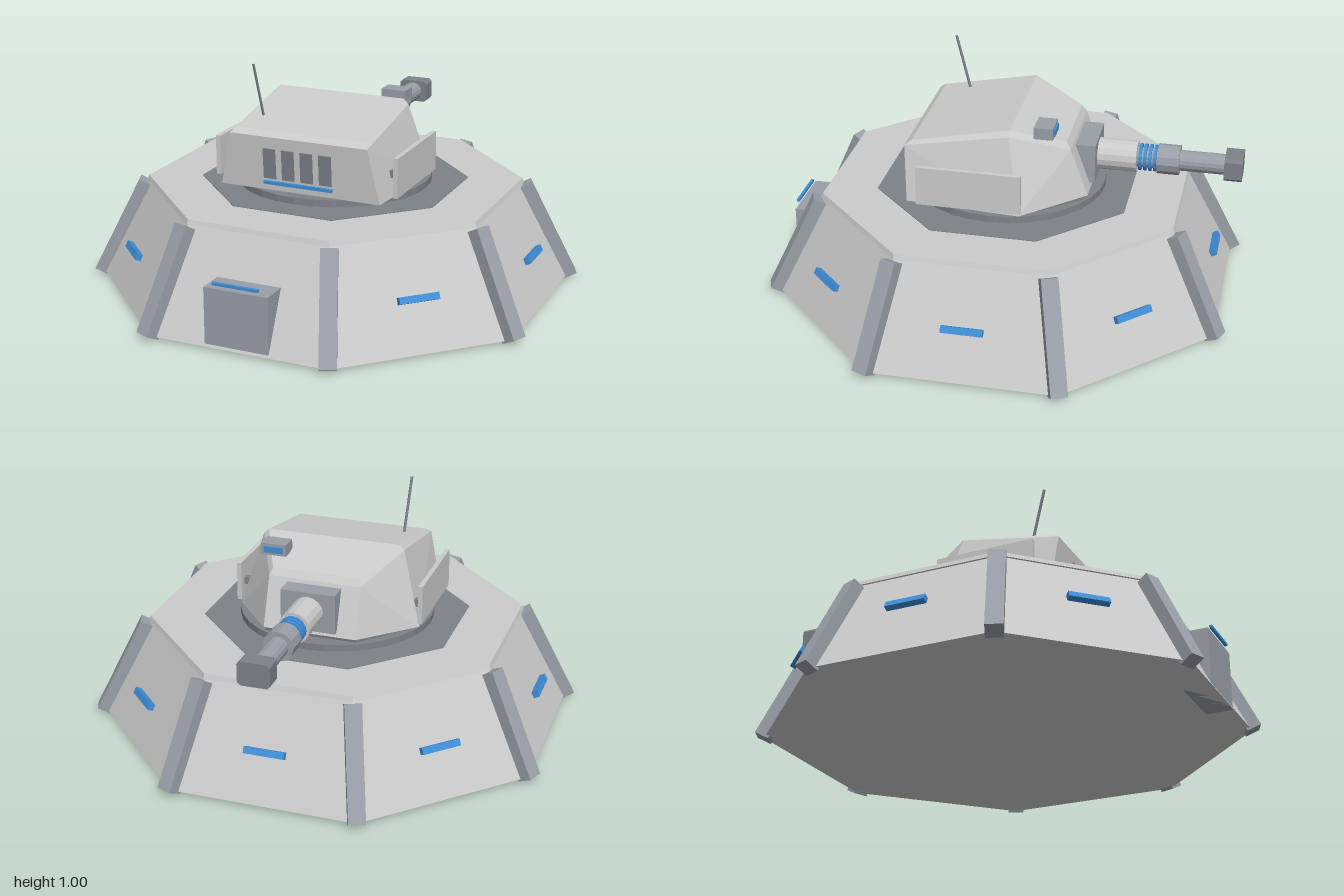
import * as THREE from 'three';
import { ConvexGeometry } from 'three/addons/geometries/ConvexGeometry.js';

const mat = (color) => new THREE.MeshStandardMaterial({ color, flatShading: true });

export function createModel() {
  const root = new THREE.Group();
  const grey = mat(0xcccccc), steel = mat(0x9a9fa8), dark = mat(0x7d828a), blue = mat(0x3f8fd8);

  const add = (name, geo, material, x = 0, y = 0, z = 0, parent = root) => {
    const m = new THREE.Mesh(geo, material);
    m.name = name;
    m.position.set(x, y, z);
    parent.add(m);
    return m;
  };
  const box = (name, w, h, d, material, x, y, z, parent) =>
    add(name, new THREE.BoxGeometry(w, h, d), material, x, y, z, parent);

  // Octagonal prism given by the distance from centre to flat side
  const octagon = (name, top, bottom, y0, y1, material) => {
    const k = 1 / Math.cos(Math.PI / 8);
    return add(name, new THREE.CylinderGeometry(top * k, bottom * k, y1 - y0, 8, 1, false, Math.PI / 8),
      material, 0, (y0 + y1) / 2, 0);
  };

  // Bunker body
  octagon('bunkerWall', 0.745, 0.95, 0.015, 0.44, grey);
  octagon('roofSlab', 0.75, 0.757, 0.435, 0.455, grey);
  octagon('roofInset', 0.533, 0.533, 0.44, 0.458, dark);
  add('turntable', new THREE.CylinderGeometry(0.42, 0.42, 0.035, 32), dark, 0, 0.47, 0);

  // Corner ribs and wall lights around the octagon
  const slope = Math.atan2(0.21, 0.415);
  for (let i = 0; i < 8; i++) {
    const corner = new THREE.Group();
    corner.name = 'cornerRib' + (i + 1);
    corner.rotation.y = (i + 0.5) * Math.PI / 4;
    const rib = box('rib', 0.07, 0.465, 0.064, steel, 0, 0.222, 0.928, corner);
    rib.rotation.x = -slope;
    root.add(corner);

    if (i === 0) continue; // the door takes the front wall
    const side = new THREE.Group();
    side.name = 'wallLight' + i;
    side.rotation.y = i * Math.PI / 4;
    box('lamp', 0.17, 0.028, 0.025, blue, 0, 0.232, 0.903, side).rotation.x = -slope;
    root.add(side);
  }

  // Entrance
  box('door', 0.28, 0.25, 0.115, steel, 0, 0.14, 0.8875);
  box('doorLight', 0.2, 0.012, 0.012, blue, 0, 0.287, 0.945);

  // Turret shell: half-outline corners mirrored across x
  const turret = new THREE.Group();
  turret.name = 'turret';
  root.add(turret);
  const half = [
    [0.36, 0.487, 0.365], [0.40, 0.487, -0.12], [0.20, 0.487, -0.35], [0.20, 0.51, -0.375],
    [0.31, 0.72, 0.382], [0.295, 0.74, 0.355],
    [0.313, 0.8, -0.06], [0.29, 0.822, -0.06],
    [0.20, 0.715, -0.30], [0.19, 0.745, -0.28],
  ];
  const points = half.flatMap(([x, y, z]) => [new THREE.Vector3(x, y, z), new THREE.Vector3(-x, y, z)]);
  add('turretShell', new ConvexGeometry(points), grey, 0, 0, 0, turret);

  // Side armour panels
  for (const s of [-1, 1]) {
    box('sidePanel', 0.02, 0.17, 0.44, grey, s * 0.405, 0.59, 0.09, turret);
    for (const z of [-0.08, 0.22])
      box('panelBracket', 0.07, 0.03, 0.03, dark, s * 0.365, 0.58, z, turret);
  }

  // Rear vents with light strip
  for (let i = 0; i < 4; i++)
    box('vent', 0.055, 0.13, 0.02, dark, -0.13 + i * 0.084, 0.605, 0.37, turret).rotation.x = 0.07;
  box('ventLight', 0.31, 0.014, 0.012, blue, 0, 0.524, 0.38, turret);

  // Gun, running towards -z
  const gun = new THREE.Group();
  gun.name = 'gun';
  gun.position.y = 0.615;
  turret.add(gun);
  const tube = (name, r, z0, z1, material, sides = 16) => {
    const m = add(name, new THREE.CylinderGeometry(r, r, z0 - z1, sides), material, 0, 0, (z0 + z1) / 2, gun);
    m.rotation.x = Math.PI / 2;
    return m;
  };
  box('mantlet', 0.235, 0.17, 0.11, steel, 0, 0, -0.335, gun);
  tube('barrelSleeve', 0.067, -0.38, -0.555, grey);
  tube('barrel', 0.044, -0.5, -0.94, steel);
  for (let i = 0; i < 4; i++) tube('coolingRing', 0.057, -0.563 - i * 0.021, -0.575 - i * 0.021, blue);
  tube('collar', 0.064, -0.642, -0.735, steel, 12);
  const shape = new THREE.Shape([[-0.055, -0.05], [0.055, -0.05], [0.067, -0.038], [0.067, 0.038],
    [0.055, 0.05], [-0.055, 0.05], [-0.067, 0.038], [-0.067, -0.038]].map(([x, y]) => new THREE.Vector2(x, y)));
  add('muzzleBrake', new THREE.ExtrudeGeometry(shape, { depth: 0.076, bevelEnabled: false }), dark, 0, 0.002, -1, gun);

  // Roof sight and antenna
  box('sight', 0.11, 0.05, 0.08, steel, 0.205, 0.803, -0.195, turret);
  box('sightLens', 0.08, 0.026, 0.008, blue, 0.205, 0.803, -0.238, turret);
  const path = new THREE.LineCurve3(new THREE.Vector3(-0.229, 0.755, 0.225), new THREE.Vector3(-0.242, 1, 0.29));
  add('antenna', new THREE.TubeGeometry(path, 1, 0.006, 6), dark, 0, 0, 0, turret);

  return root;
}
